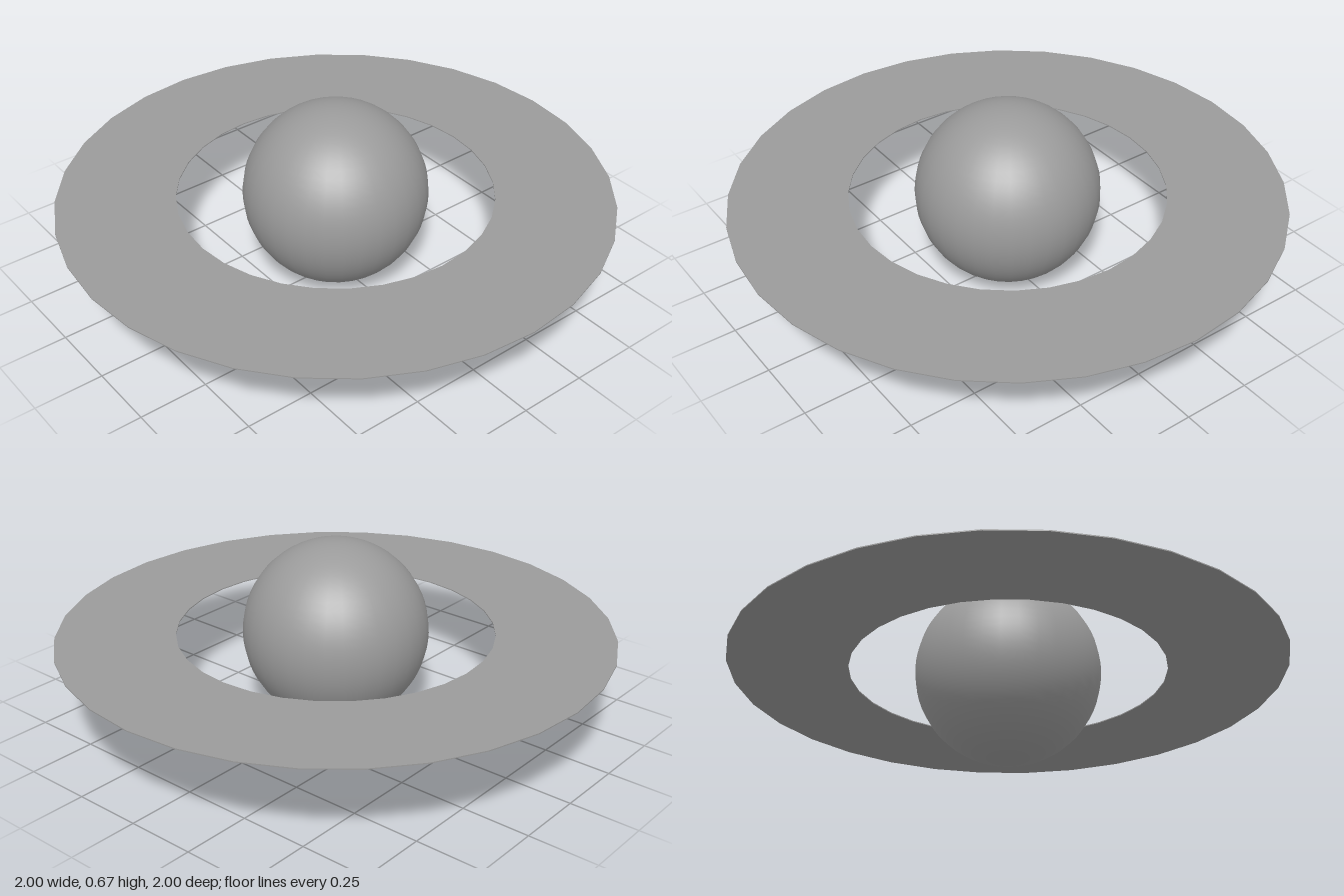
import * as THREE from 'three';

export function createModel() {
  const model = new THREE.Group();
  const radius = 0.334;
  const thickness = 0.004;
  const material = new THREE.MeshStandardMaterial({ color: 0x9b9b9b });

  // Round globe standing on the ground
  const globe = new THREE.Mesh(new THREE.SphereGeometry(radius, 32, 32), material);
  globe.name = 'planetGlobe';
  globe.position.y = radius;

  // Very thin flat ring around the equator, 32 sides
  const outline = new THREE.Shape().absarc(0, 0, 1, 0, Math.PI * 2);
  outline.holes.push(new THREE.Path().absarc(0, 0, 0.572, 0, Math.PI * 2, true));
  const ring = new THREE.Mesh(
    new THREE.ExtrudeGeometry(outline, { depth: thickness, curveSegments: 16, bevelEnabled: false }),
    material
  );
  ring.name = 'planetRing';
  ring.rotation.x = -Math.PI / 2;
  ring.position.y = radius - thickness / 2;

  model.add(globe, ring);
  return model;
}
